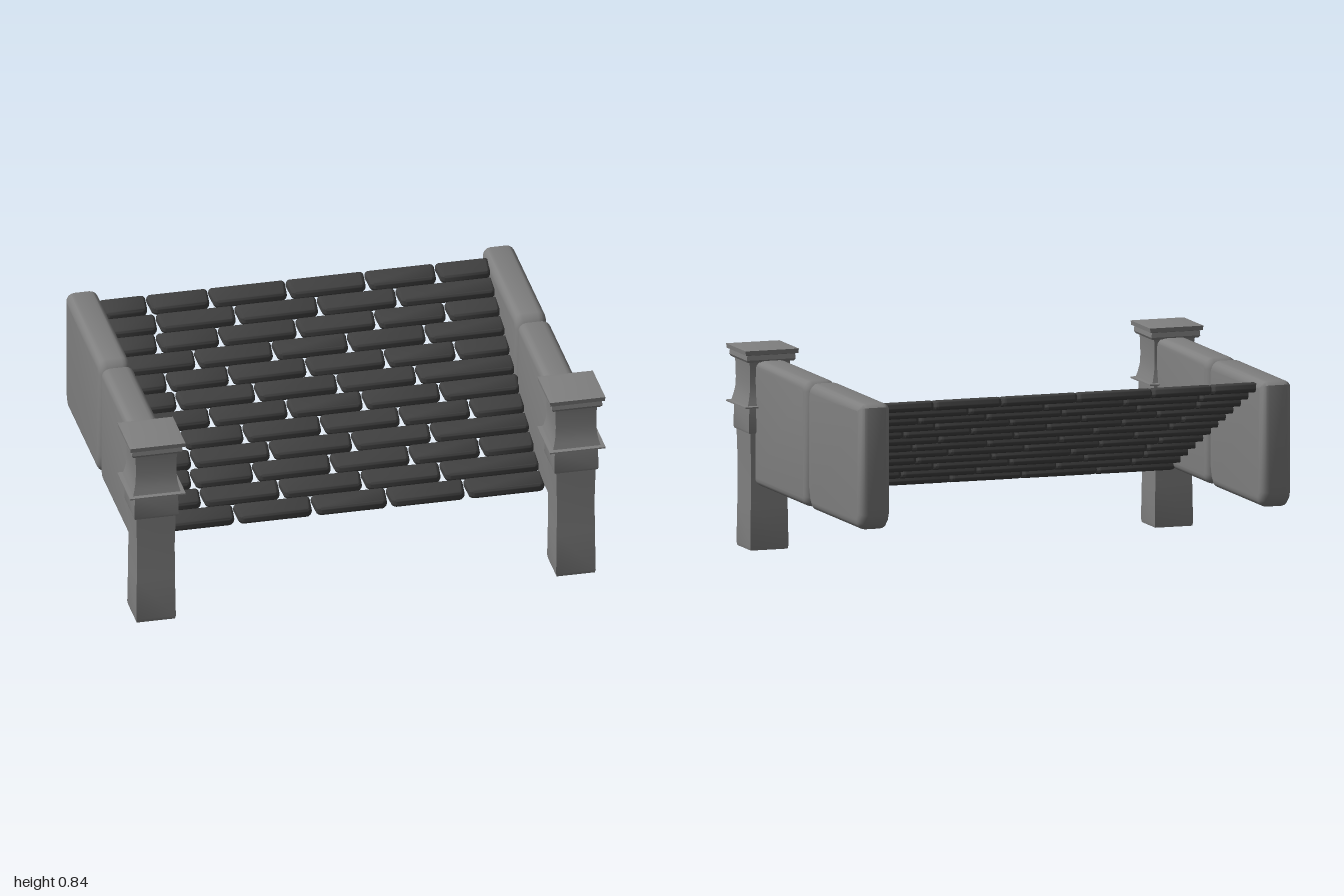
import * as THREE from 'three';
import { toCreasedNormals } from 'three/addons/utils/BufferGeometryUtils.js';
import { RoundedBoxGeometry } from 'three/addons/geometries/RoundedBoxGeometry.js';

const stone = new THREE.MeshStandardMaterial({ color: 0x808080 });
const slate = new THREE.MeshStandardMaterial({ color: 0x404040 });

function add(parent, name, geometry, material) {
  const mesh = new THREE.Mesh(geometry, material);
  mesh.name = name;
  parent.add(mesh);
  return mesh;
}

// Square turned part: profile of [half width, height], bottom to top
function squarePart(profile) {
  const points = profile.map(([h, y]) => new THREE.Vector2(h * Math.SQRT2, y));
  const g = new THREE.LatheGeometry(points, 4);
  g.rotateY(Math.PI / 4);
  return toCreasedNormals(g, 0.5);
}

// Worn stone slab: outline of [z, y], thickness along x, softened edges
function slab(outline) {
  const bevel = 0.035, thickness = 0.135;
  const shape = new THREE.Shape(outline.map(([z, y]) => new THREE.Vector2(z, y)));
  const depth = thickness - 2 * bevel;
  const g = new THREE.ExtrudeGeometry(shape, {
    depth, bevelEnabled: true, bevelThickness: bevel, bevelSize: bevel,
    bevelOffset: -bevel, bevelSegments: 4,
  });
  g.translate(0, 0, -depth / 2);
  g.rotateY(-Math.PI / 2);
  return toCreasedNormals(g, 0.75);
}

// Roof tile: crowned bar whose front corners are drawn in
function tileGeometry(width) {
  const thick = 0.042, deep = 0.108;
  const g = new RoundedBoxGeometry(width, thick, deep, 3, 0.017);
  const p = g.attributes.position;
  for (let i = 0; i < p.count; i++) {
    const u = p.getX(i) / (width / 2);
    const front = Math.max(0, p.getZ(i) / (deep / 2));
    p.setX(i, p.getX(i) - Math.sign(u) * 0.014 * front * front);
    p.setZ(i, p.getZ(i) - 0.012 * front * u ** 6);
    p.setY(i, p.getY(i) + 0.004 * (1 - u * u) - 0.003);
  }
  g.computeVertexNormals();
  return toCreasedNormals(g, 0.9);
}

export function createModel() {
  const model = new THREE.Group();
  model.name = 'tiledCanopy';

  // Posts with collar, waisted neck and cap
  const leg = squarePart([[0, 0], [0.08, 0.005], [0.083, 0.02], [0.08, 0.2], [0.079, 0.35], [0.083, 0.5]]);
  const collar = squarePart([[0, 0.49], [0.09, 0.49], [0.093, 0.5], [0.09, 0.595], [0.1, 0.595],
    [0.117, 0.598], [0.117, 0.604], [0.1, 0.606], [0, 0.606]]);
  const neck = squarePart([[0.1, 0.604], [0.093, 0.63], [0.087, 0.66], [0.085, 0.7], [0.086, 0.76], [0.09, 0.8]]);
  const cap = squarePart([[0, 0.785], [0.1, 0.785], [0.106, 0.795], [0.104, 0.815],
    [0.114, 0.818], [0.116, 0.836], [0.1, 0.839], [0, 0.841]]);

  // Two slabs on each side, front and back
  const frontSlab = slab([[0.56, 0.27], [0.56, 0.79], [-0.045, 0.79], [-0.068, 0.775], [-0.077, 0.75],
    [-0.077, 0.31], [-0.068, 0.285], [-0.045, 0.27]].reverse());
  const backSlab = slab([[-0.125, 0.79], [-0.1, 0.775], [-0.083, 0.74], [-0.083, 0.36], [-0.1, 0.3],
    [-0.13, 0.268], [-0.68, 0.268], [-0.705, 0.29], [-0.722, 0.33], [-0.722, 0.775], [-0.705, 0.79]].reverse());

  for (const side of [1, -1]) {
    const prefix = side > 0 ? 'left' : 'right';
    const post = new THREE.Group();
    post.name = prefix + 'Post';
    post.position.set(0.88 * side, 0, 0.608);
    add(post, 'leg', leg, stone);
    add(post, 'collar', collar, stone);
    add(post, 'neck', neck, stone);
    add(post, 'cap', cap, stone);
    model.add(post);
    add(model, prefix + 'FrontSlab', frontSlab, stone).position.x = 0.873 * side;
    add(model, prefix + 'BackSlab', backSlab, stone).position.x = 0.873 * side;
  }

  // Sloping roof: overlapping rows with staggered joints
  const joints = {
    A: [-0.62, -0.36, -0.035, 0.295, 0.59],
    B: [-0.6, -0.27, 0.075, 0.405],
    C: [-0.48, -0.155, 0.16, 0.485],
  };
  const roof = new THREE.Group();
  roof.name = 'roof';
  [...'ABACABCABABC'].forEach((kind, row) => {
    const edges = [-0.82, ...joints[kind], 0.82];
    for (let i = 0; i + 1 < edges.length; i++) {
      const tile = add(roof, 'roofTile', tileGeometry(edges[i + 1] - edges[i] - 0.004), slate);
      tile.position.set((edges[i] + edges[i + 1]) / 2, 0.753 - 0.0422 * row, -0.6 + 0.0895 * row);
      tile.rotation.x = 0.17;
    }
  });
  model.add(roof);
  return model;
}
